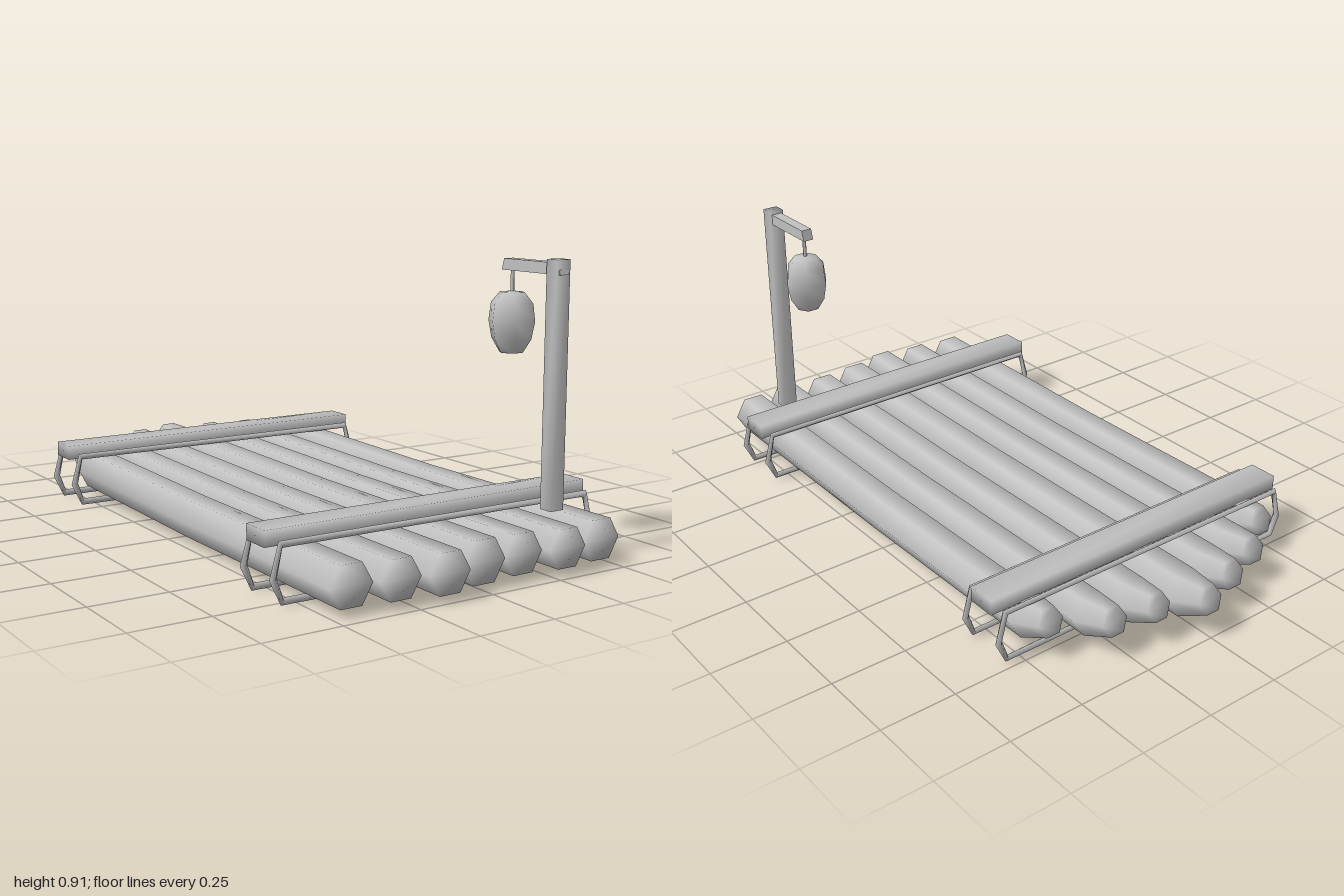
import * as THREE from 'three';
import { mergeVertices } from 'three/addons/utils/BufferGeometryUtils.js';

// Skin over a list of rings of [x, y, z] points, either closed into a loop or capped at both ends
function skin(rings, loop) {
  const n = rings[0].length, m = rings.length, index = [];
  for (let i = 0; i < (loop ? m : m - 1); i++) {
    for (let j = 0; j < n; j++) {
      const k = (j + 1) % n, next = ((i + 1) % m) * n;
      index.push(i * n + j, next + j, i * n + k, i * n + k, next + j, next + k);
    }
  }
  if (!loop) {
    const end = (m - 1) * n;
    for (let j = 1; j < n - 1; j++) index.push(0, j, j + 1, end, end + j + 1, end + j);
  }
  const g = new THREE.BufferGeometry();
  g.setAttribute('position', new THREE.Float32BufferAttribute(rings.flat(2), 3));
  g.setIndex(index);
  g.computeVertexNormals();
  return g;
}

// Soft-shaded box whose sides share their corners
function softBox(w, h, d) {
  const g = new THREE.BoxGeometry(w, h, d);
  g.deleteAttribute('normal');
  g.deleteAttribute('uv');
  const merged = mergeVertices(g);
  merged.computeVertexNormals();
  return merged;
}

// Six-sided log, bending up to a tapered tip at the back
function logGeometry(x, front, back, r) {
  const sections = [
    [front, 0.09, r, 0],
    [0.1, 0.089, r, 0],
    [back + 0.12, 0.102, r, 0.2],
    [back + 0.015, 0.132, 0.045, 0.36],
  ];
  return skin(sections.map(([z, y, radius, tilt]) =>
    Array.from({ length: 6 }, (_, j) => {
      const a = j * Math.PI / 3, dy = Math.sin(a) * radius;
      return [x + Math.cos(a) * radius, y + dy, z + dy * tilt];
    })), false);
}

// Six-cornered rope loop with a diamond section
function ropeGeometry() {
  const half = [ // outer x, y, inner x, y on the left side
    [0.55, 0.005, 0.543, 0.027],
    [0.587, 0.08, 0.563, 0.082],
    [0.557, 0.186, 0.545, 0.166],
  ];
  const corners = [...half, ...half.slice().reverse().map(([a, b, c, d]) => [-a, b, -c, d])];
  return skin(corners.map(([ox, oy, ix, iy]) => {
    const mx = (ox + ix) / 2, my = (oy + iy) / 2;
    return [[ox, oy, 0], [mx, my, 0.012], [ix, iy, 0], [mx, my, -0.012]];
  }), true);
}

export function createModel() {
  const model = new THREE.Group();
  const grey = new THREE.MeshStandardMaterial({ color: 0xc0c0c0 });
  grey.name = 'plain grey';
  const add = (name, geometry, x = 0, y = 0, z = 0) => {
    const mesh = new THREE.Mesh(geometry, grey);
    mesh.name = name;
    mesh.position.set(x, y, z);
    model.add(mesh);
    return mesh;
  };

  // Deck logs: x, front end, back tip, radius
  [
    [-0.442, 0.95, -0.787, 0.07],
    [-0.296, 0.972, -0.89, 0.068],
    [-0.15, 0.998, -0.945, 0.07],
    [-0.002, 0.962, -1, 0.075],
    [0.144, 0.957, -0.935, 0.07],
    [0.29, 0.982, -0.91, 0.068],
    [0.438, 0.963, -0.8, 0.071],
  ].forEach((l) => add('log', logGeometry(...l)));

  // Cross beams
  for (const z of [0.685, -0.643]) add('crossBeam', softBox(1.16, 0.048, 0.096), 0, 0.186, z);

  // Rope lashings
  const rope = ropeGeometry();
  for (const z of [0.77, 0.612, -0.56, -0.72]) add('ropeLoop', rope, 0, 0, z);

  // Lamp post
  add('post', softBox(0.05, 0.75, 0.046), 0.37, 0.535, 0.822);

  // Arm with slanted ends, drawn along z and extruded across x
  const side = new THREE.Shape([
    [-0.85, 0.865], [-0.59, 0.865], [-0.6, 0.9], [-0.838, 0.9],
  ].map(([z, y]) => new THREE.Vector2(z, y)));
  const arm = new THREE.ExtrudeGeometry(side, { depth: 0.036, bevelEnabled: false });
  arm.translate(0, 0, -0.018).rotateY(Math.PI / 2);
  add('arm', arm, 0.37, 0, 0);

  // Hanging cord and lantern
  add('cord', new THREE.CylinderGeometry(0.006, 0.006, 0.09, 6), 0.37, 0.835, 0.62);
  const profile = [
    [0, 0.608], [0.038, 0.613], [0.064, 0.655], [0.075, 0.71],
    [0.068, 0.765], [0.04, 0.798], [0, 0.802],
  ].map(([r, y]) => new THREE.Vector2(r, y));
  add('lantern', new THREE.LatheGeometry(profile, 6, Math.PI / 2), 0.37, 0, 0.62);

  return model;
}
